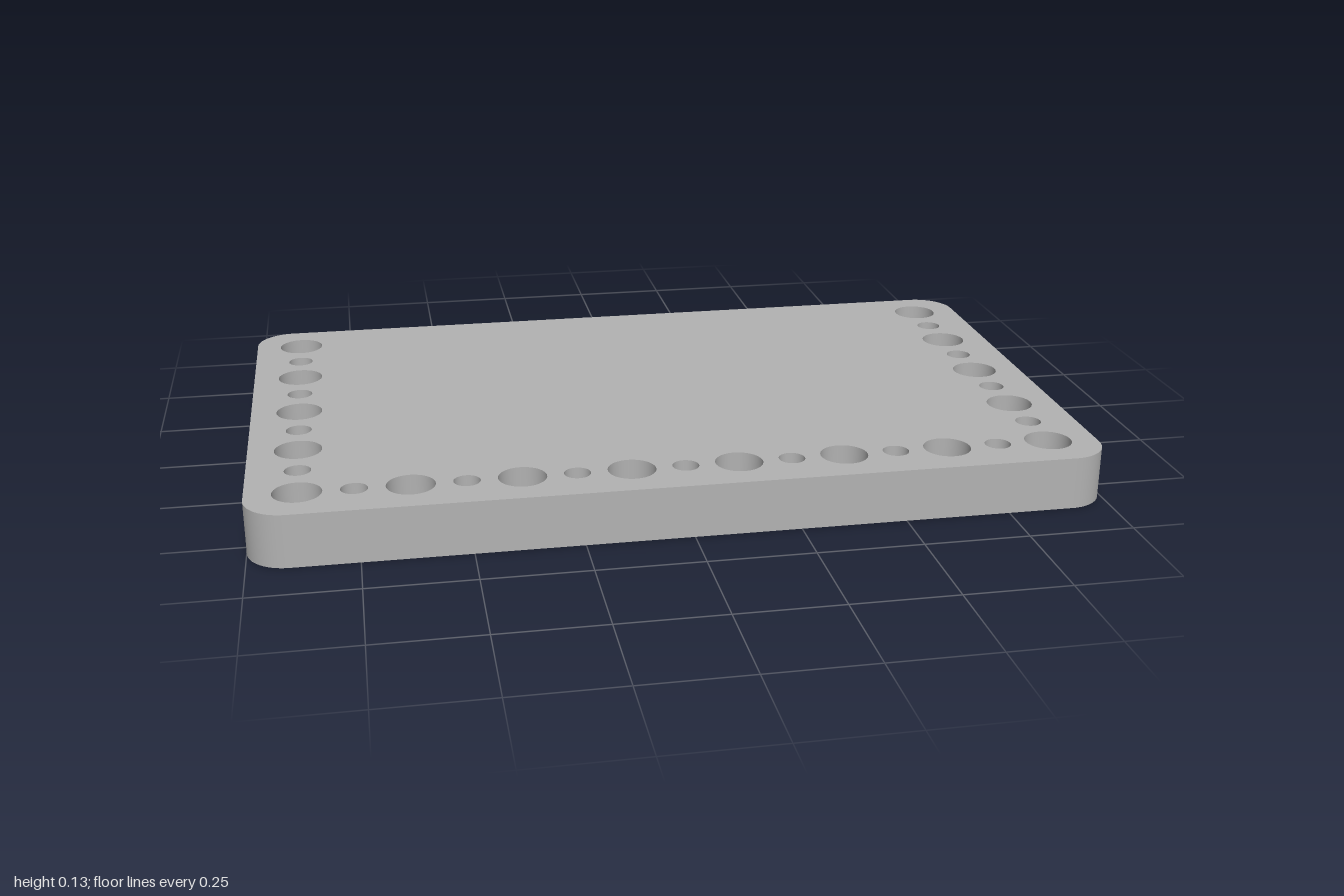
import * as THREE from 'three';

const W = 1, D = 0.622, H = 0.127, R = 0.094;      // half width, half depth, height, corner radius
const PITCH = 0.252, BIG = 0.056, SMALL = 0.031;   // hole spacing and radii
const GROOVES = [-2, -1, 0, 1, 2].map(i => i * 0.315);
const GR = 0.109, GZ = 0.41;                       // groove radius and closed front end

// Holes run down both sides and along the front, alternating big and small
function holeList() {
  const list = [];
  const add = (x, z, i) => list.push({ x, z, r: i % 2 ? SMALL : BIG });
  for (let i = 0; i <= 14; i++) add(-0.882 + i * PITCH / 2, 0.504, i);
  for (let i = 1; i <= 8; i++) for (const s of [-1, 1]) add(s * 0.882, 0.504 - i * PITCH / 2, i);
  return list;
}

// Rounded plate outline with holes; the underside is notched by the grooves
function plateShape(holes, s, notched) {
  const p = new THREE.Shape();
  p.moveTo(-W + R, -D);
  if (notched) for (const x of GROOVES) {
    p.lineTo(x - GR, -D);
    p.lineTo(x - GR, GZ);
    p.lineTo(x + GR, GZ);
    p.lineTo(x + GR, -D);
  }
  p.lineTo(W - R, -D);
  p.absarc(W - R, -D + R, R, -Math.PI / 2, 0);
  p.absarc(W - R, D - R, R, 0, Math.PI / 2);
  p.absarc(-W + R, D - R, R, Math.PI / 2, Math.PI);
  p.absarc(-W + R, -D + R, R, Math.PI, Math.PI * 1.5);
  for (const h of holes) {
    const c = new THREE.Path();
    c.absarc(h.x, s * h.z, h.r, 0, Math.PI * 2, true);
    p.holes.push(c);
  }
  return p;
}

// Back wall with half-round groove openings
function backShape() {
  const p = new THREE.Shape();
  p.moveTo(-W + R, 0);
  for (const x of GROOVES) {
    p.lineTo(x - GR, 0);
    p.absarc(x, 0, GR, Math.PI, 0, true);
  }
  p.lineTo(W - R, 0);
  p.lineTo(W - R, H);
  p.lineTo(-W + R, H);
  return p;
}

export function createModel() {
  const group = new THREE.Group();
  const grey = new THREE.MeshStandardMaterial({ color: 0xb2b2b2, side: THREE.DoubleSide });
  grey.name = 'grey';
  const add = (name, geo, x, y, z) => {
    const m = new THREE.Mesh(geo, grey);
    m.name = name;
    m.position.set(x, y, z);
    group.add(m);
  };
  const holes = holeList();

  // Top and bottom faces
  add('topFace', new THREE.ShapeGeometry(plateShape(holes, -1, false), 24).rotateX(-Math.PI / 2), 0, H, 0);
  add('bottomFace', new THREE.ShapeGeometry(plateShape(holes, 1, true), 24).rotateX(Math.PI / 2), 0, 0, 0);

  // Outer walls
  add('frontWall', new THREE.PlaneGeometry(2 * (W - R), H), 0, H / 2, D);
  add('backWall', new THREE.ShapeGeometry(backShape(), 32).rotateY(Math.PI), 0, 0, -D);
  for (const s of [-1, 1])
    add('sideWall', new THREE.PlaneGeometry(2 * (D - R), H).rotateY(s * Math.PI / 2), s * W, H / 2, 0);
  [[1, 1], [1, -1], [-1, -1], [-1, 1]].forEach(([sx, sz], i) =>
    add('cornerWall', new THREE.CylinderGeometry(R, R, H, 24, 1, true, i * Math.PI / 2, Math.PI / 2),
      sx * (W - R), H / 2, sz * (D - R)));

  // Hole linings
  for (const h of holes)
    add('holeLining', new THREE.CylinderGeometry(h.r, h.r, H, 48, 1, true), h.x, H / 2, h.z);

  // Half-round grooves under the plate, open at the back
  for (const x of GROOVES) {
    const tube = new THREE.CylinderGeometry(GR, GR, GZ + D, 32, 1, true, Math.PI / 2, Math.PI);
    add('groove', tube.rotateX(Math.PI / 2), x, 0, (GZ - D) / 2);
    add('grooveEnd', new THREE.CircleGeometry(GR, 32, 0, Math.PI).rotateY(Math.PI), x, 0, GZ);
  }
  return group;
}
